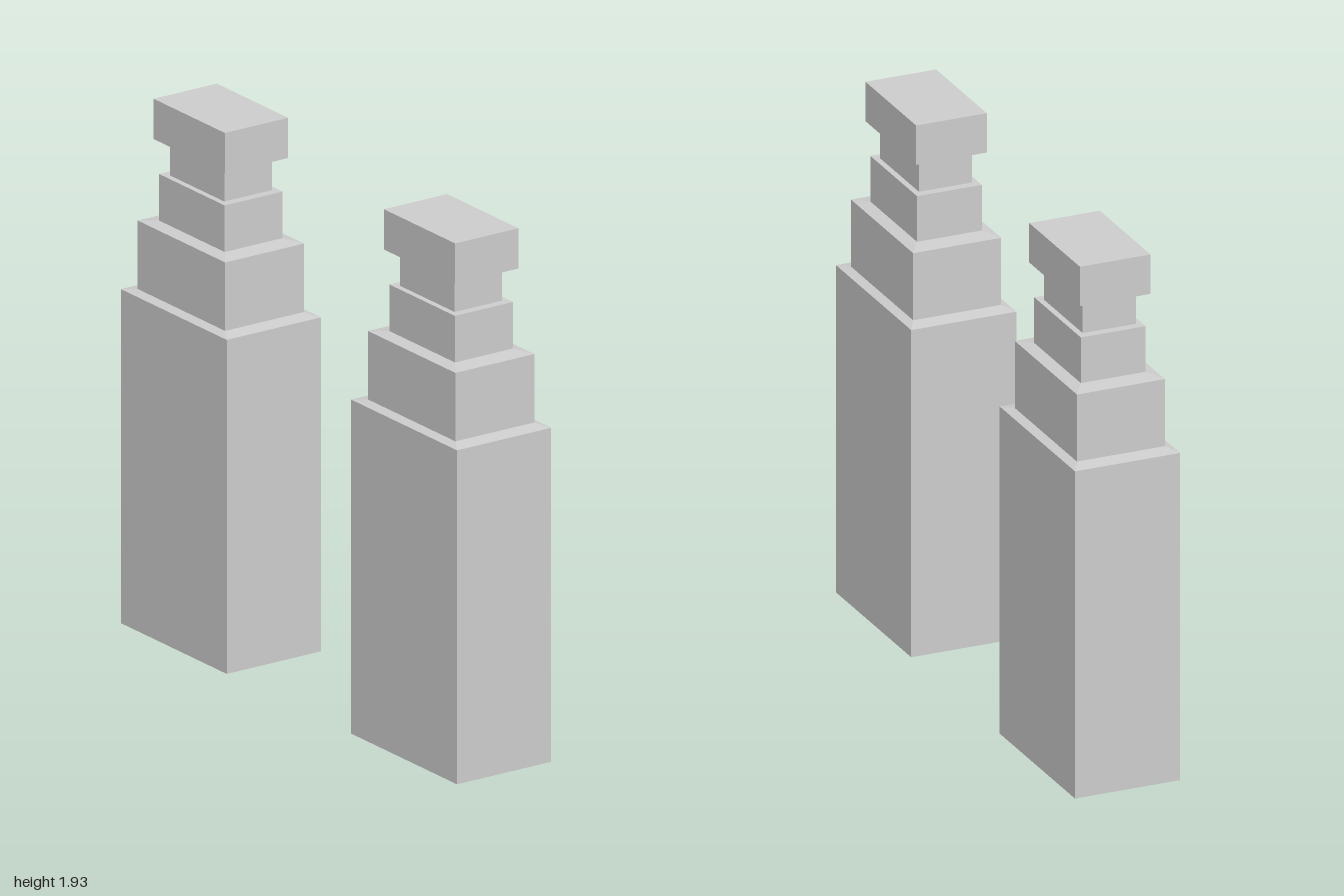
import * as THREE from 'three';

const material = new THREE.MeshStandardMaterial({
  color: 0xcccccc, flatShading: true, side: THREE.DoubleSide,
});
const CORNERS = [[1, 1], [1, -1], [-1, -1], [-1, 1]];

// Rectangular shell through rings of [halfWidth, halfDepth, y], open below
function shell(name, rings, capped = false) {
  const positions = [];
  const quad = (a, b, c, d) => positions.push(...a, ...b, ...c, ...a, ...c, ...d);
  const loops = rings.map(([w, d, y]) => CORNERS.map(([sx, sz]) => [sx * w, y, sz * d]));
  for (let r = 0; r < loops.length - 1; r++) {
    for (let i = 0; i < 4; i++) {
      const j = (i + 1) % 4;
      quad(loops[r][i], loops[r][j], loops[r + 1][j], loops[r + 1][i]);
    }
  }
  if (capped) quad(...loops[loops.length - 1]);
  const geometry = new THREE.BufferGeometry();
  geometry.setAttribute('position', new THREE.Float32BufferAttribute(positions, 3));
  geometry.computeVertexNormals();
  const mesh = new THREE.Mesh(geometry, material);
  mesh.name = name;
  return mesh;
}

// Stepped pillar: each tier ends in the ledge that carries the next one
function createPillar(name, z) {
  const pillar = new THREE.Group();
  pillar.name = name;
  pillar.position.z = z;
  pillar.add(
    shell('shaft', [[0.198, 0.315, 0], [0.198, 0.315, 1.22], [0.166, 0.26, 1.23]]),
    shell('lowerTier', [[0.166, 0.26, 1.23], [0.166, 0.26, 1.48], [0.122, 0.195, 1.49]]),
    shell('upperTier', [[0.122, 0.195, 1.49], [0.122, 0.195, 1.66], [0.1, 0.162, 1.66]]),
    shell('neck', [[0.1, 0.162, 1.66], [0.1, 0.162, 1.785]]),
    shell('cap', [[0.1, 0.162, 1.785], [0.133, 0.212, 1.785], [0.133, 0.212, 1.932]], true),
  );
  return pillar;
}

export function createModel() {
  const model = new THREE.Group();
  model.name = 'pillarPair';
  model.add(createPillar('frontPillar', 0.685), createPillar('backPillar', -0.685));
  return model;
}
